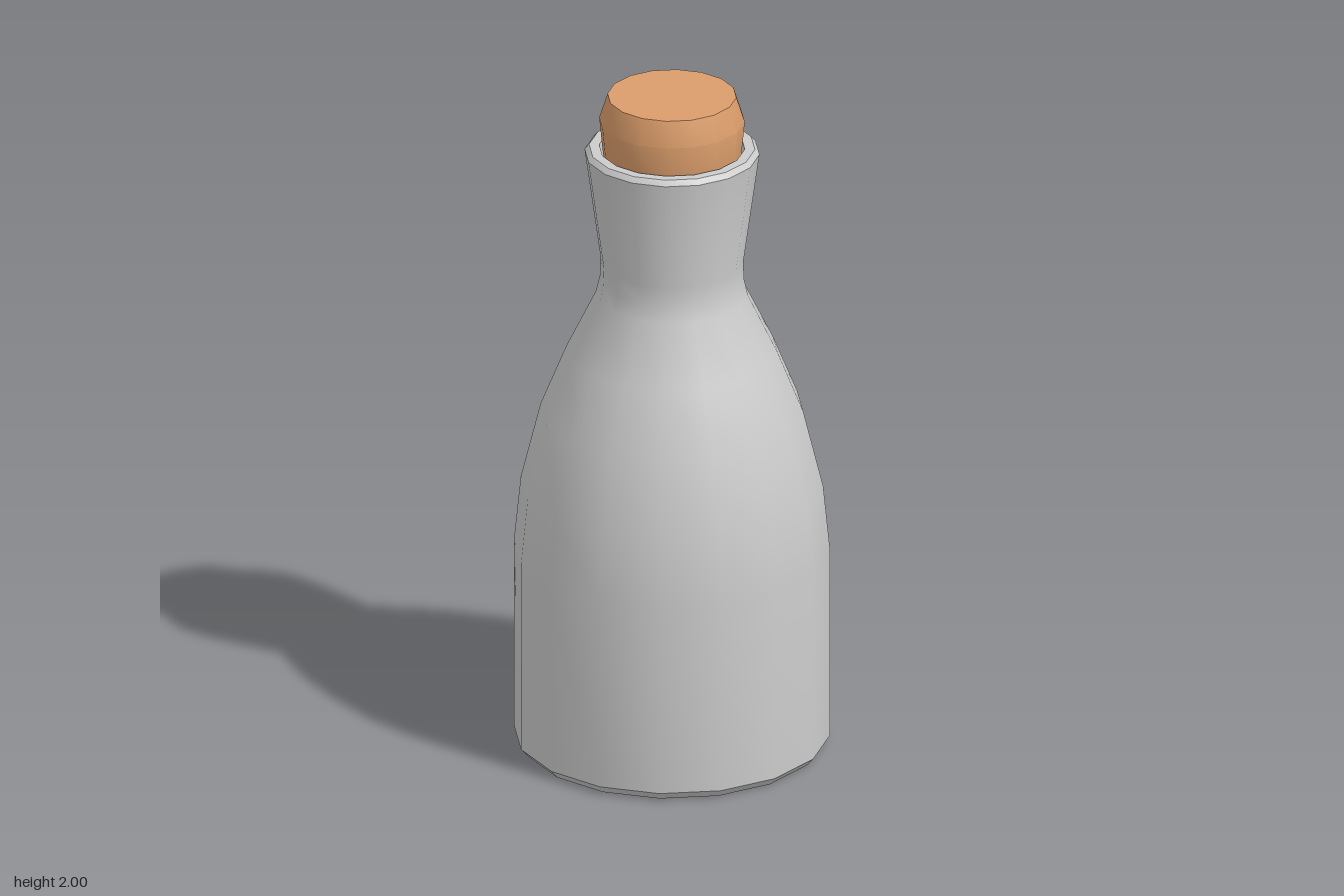
import * as THREE from 'three';
import { toCreasedNormals } from 'three/addons/utils/BufferGeometryUtils.js';

const SIDES = 16;

// Turned part from [radius, height] pairs, smooth except at bevels and caps
function turned(name, profile, color) {
  const points = profile.map(([r, y]) => new THREE.Vector2(r, y));
  const geometry = toCreasedNormals(new THREE.LatheGeometry(points, SIDES), 0.5);
  const mesh = new THREE.Mesh(geometry, new THREE.MeshStandardMaterial({ color }));
  mesh.name = name;
  return mesh;
}

export function createModel() {
  const model = new THREE.Group();
  model.name = 'corkedBottle';

  // Bottle: base bevel, straight body, shoulder, flared neck, bevelled rim, inner wall
  model.add(turned('bottle', [
    [0, 0], [0.43, 0], [0.452, 0.025], [0.452, 0.6], [0.432, 0.8],
    [0.375, 1.03], [0.302, 1.21], [0.217, 1.385], [0.206, 1.435], [0.204, 1.49],
    [0.25, 1.825], [0.237, 1.84], [0.208, 1.84], [0.19, 1.7], [0, 1.7],
  ], 0xcccccc));

  // Cork stopper, seated in the neck
  model.add(turned('cork', [
    [0, 1.7], [0.185, 1.7], [0.2, 1.84], [0.208, 1.925], [0.184, 2], [0, 2],
  ], 0xdb9d6b));

  return model;
}
